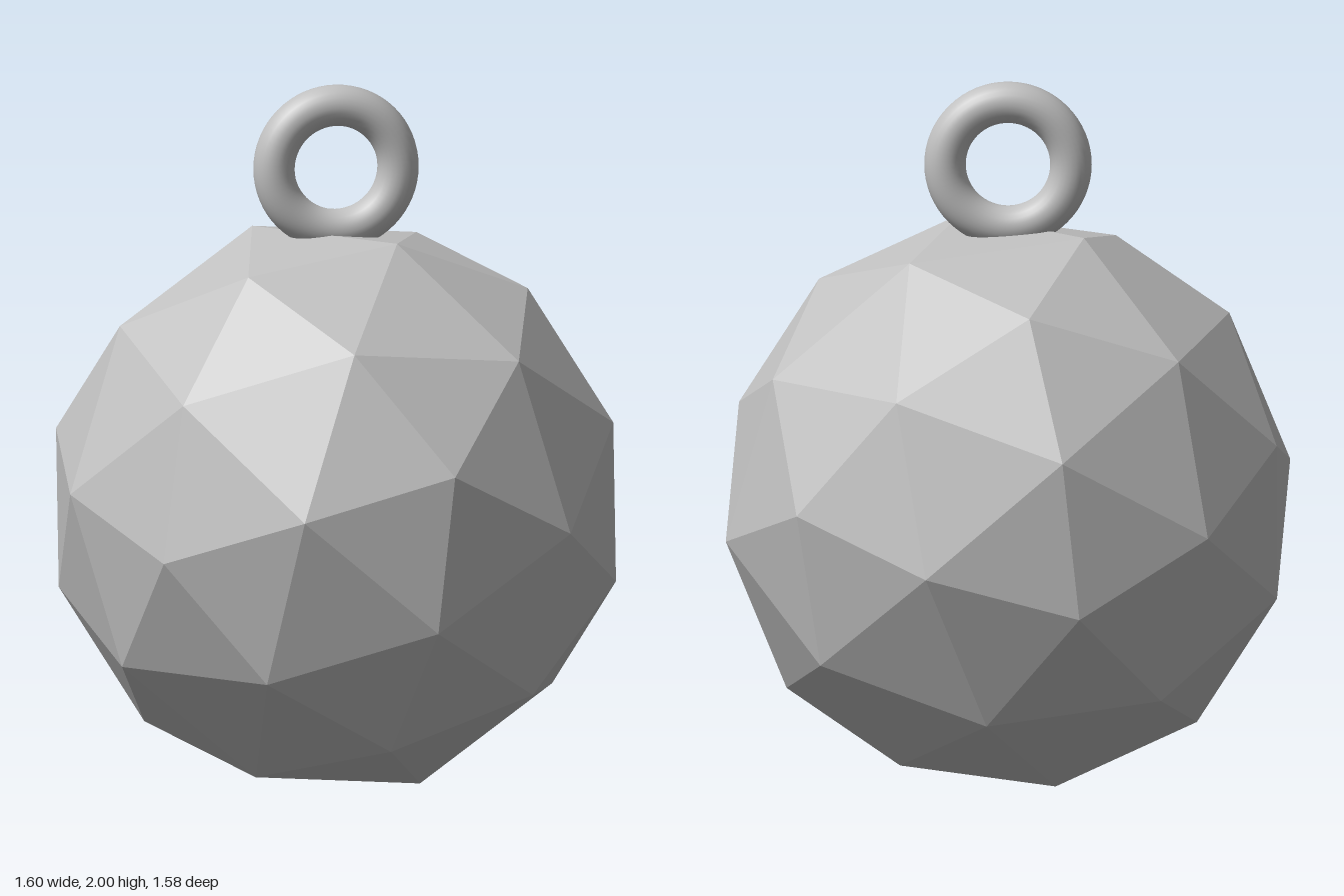
import * as THREE from 'three';

const BALL_RADIUS = 0.828;
const BALL_Y = 0.79;

export function createModel() {
  const group = new THREE.Group();
  group.name = 'bauble';

  const silver = new THREE.MeshStandardMaterial({ color: 0xc0c0c0 });
  silver.name = 'silver';

  // Faceted ball: 80 flat triangles, tilted so that two neighbouring
  // corners of the base icosahedron point along a and b
  const a = new THREE.Vector3(0.25, 0.242, 0.9375);
  const b = new THREE.Vector3(-0.722, -0.072, 0.687);
  const zAxis = a.clone().add(b).normalize();
  const yAxis = a.clone().sub(b).normalize();
  const xAxis = yAxis.clone().cross(zAxis).normalize();
  yAxis.crossVectors(zAxis, xAxis);

  const ballGeometry = new THREE.IcosahedronGeometry(BALL_RADIUS, 1);
  ballGeometry.applyMatrix4(new THREE.Matrix4().makeBasis(xAxis, yAxis, zAxis));
  ballGeometry.computeVertexNormals(); // unshared corners give flat facets
  const ball = new THREE.Mesh(ballGeometry, silver);
  ball.name = 'facetedBall';
  ball.position.y = BALL_Y;
  group.add(ball);

  // Smooth hanging ring sunk slightly into the top
  const ring = new THREE.Mesh(new THREE.TorusGeometry(0.179, 0.059, 24, 64), silver);
  ring.name = 'hangingRing';
  ring.position.y = 1.762;
  group.add(ring);

  return group;
}
